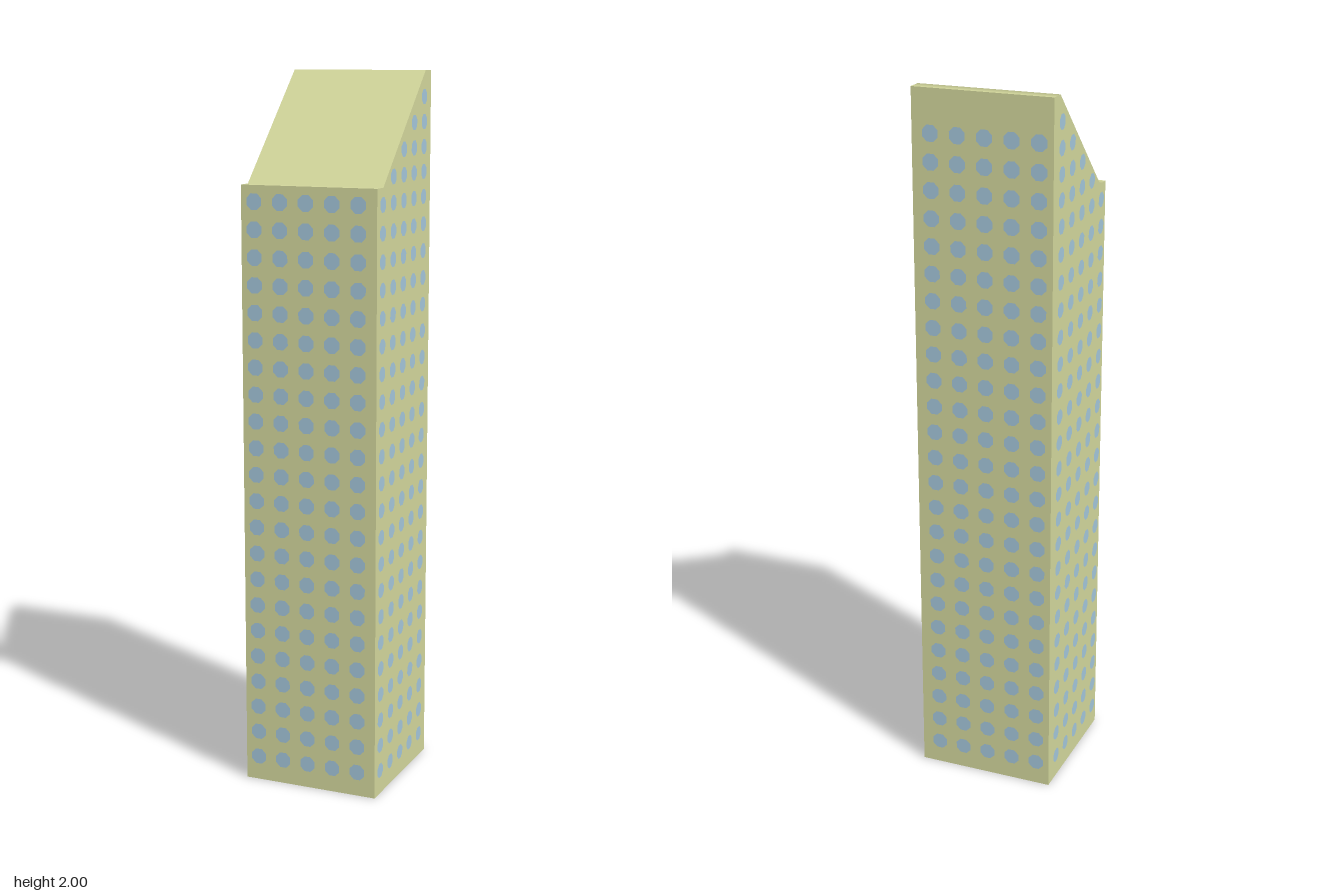
import * as THREE from 'three';
import { mergeGeometries } from 'three/addons/utils/BufferGeometryUtils.js';

const HALF = 0.198, LOW = 1.7, TOP = 2, RIDGE = 0.155;
const COLUMNS = [-0.159, -0.083, -0.007, 0.069, 0.145];
const ROW_STEP = 0.0755, FIRST_ROW = 0.07;

// Tower block with a slanted roof between two narrow ledges
function towerGeometry() {
  const profile = new THREE.Shape([
    [HALF, 0], [HALF, LOW], [RIDGE, LOW], [-RIDGE, TOP], [-HALF, TOP], [-HALF, 0],
  ].map(([z, y]) => new THREE.Vector2(z, y)));
  const geometry = new THREE.ExtrudeGeometry(profile, { depth: HALF * 2, bevelEnabled: false });
  geometry.rotateY(-Math.PI / 2).translate(HALF, 0, 0);

  // Ledges blend smoothly into the slope
  const slope = new THREE.Vector3(0, RIDGE * 2, TOP - LOW).normalize();
  const { position, normal } = geometry.attributes;
  for (let i = 0; i < position.count; i++) {
    const onRoof = normal.getY(i) > 0.5;
    if (onRoof && Math.abs(position.getZ(i)) < RIDGE + 0.001) {
      normal.setXYZ(i, slope.x, slope.y, slope.z);
    }
  }
  return geometry;
}

// Grid of round windows on one face; points are [across, height]
function windowPanel(name, points, radius, angle, material) {
  const discs = points.map(([u, y]) =>
    new THREE.CircleGeometry(radius, 8, Math.PI / 8).translate(u, y, HALF + 0.002));
  const mesh = new THREE.Mesh(mergeGeometries(discs), material);
  mesh.name = name;
  mesh.rotation.y = angle;
  return mesh;
}

function grid(rows) {
  const points = [];
  for (let r = 0; r < rows; r++) {
    for (const u of COLUMNS) points.push([u, FIRST_ROW + r * ROW_STEP]);
  }
  return points;
}

export function createModel() {
  const wall = new THREE.MeshStandardMaterial({ color: 0xd3d79c });
  wall.name = 'pale yellow wall';
  const glass = new THREE.MeshStandardMaterial({ color: 0xa4c6da });
  glass.name = 'light blue glass';

  const group = new THREE.Group();
  group.name = 'slantedTower';
  const tower = new THREE.Mesh(towerGeometry(), wall);
  tower.name = 'tower';
  group.add(tower);

  // Side windows: full rows, then a stepped triangle under the slope (as [z, y])
  const side = grid(22).map(([u, y]) => [-u, y]).map(([z, y]) => [z + 0.002, y]);
  for (let r = 0; r < 4; r++) {
    for (let c = 0; c < 4 - r; c++) {
      side.push([-0.143 + c * 0.076, 1.725 + r * 0.068]);
    }
  }

  group.add(
    windowPanel('frontWindows', grid(22), 0.024, 0, glass),
    windowPanel('backWindows', grid(25).map(([x, y]) => [-x, y]), 0.024, Math.PI, glass),
    windowPanel('leftWindows', side.map(([z, y]) => [-z, y]), 0.022, Math.PI / 2, glass),
    windowPanel('rightWindows', side, 0.022, -Math.PI / 2, glass),
  );
  return group;
}
